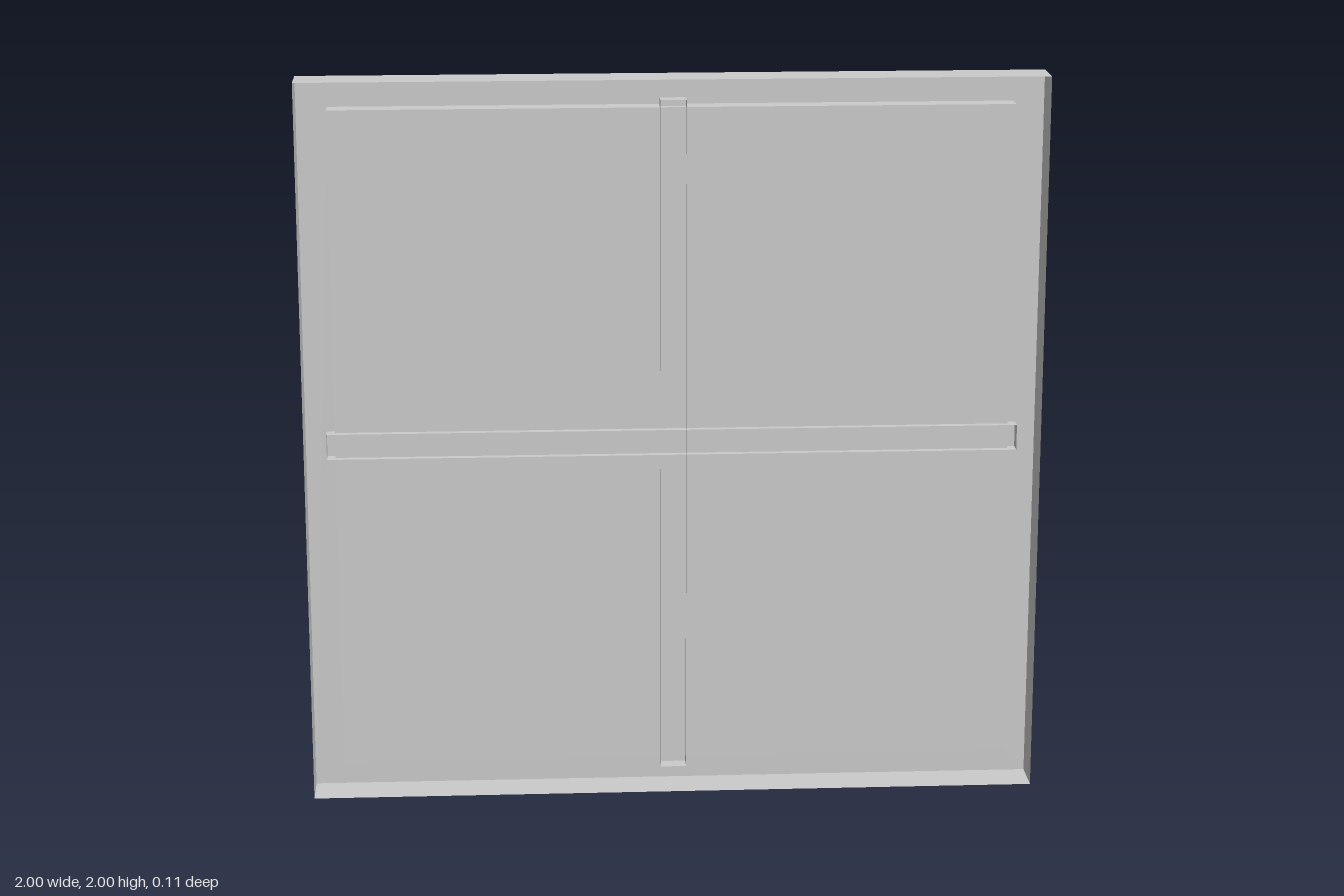
import * as THREE from 'three';

const material = new THREE.MeshStandardMaterial({ color: 0xcccccc, side: THREE.DoubleSide });
const FRONT = 4, BACK = 5; // face numbers in a box geometry

// Thin-walled box between z0 and z1 with the listed faces left open
function openBox(name, width, height, z0, z1, openFaces) {
  const geometry = new THREE.BoxGeometry(width, height, z1 - z0);
  const index = Array.from(geometry.index.array);
  geometry.setIndex(index.filter((_, i) => !openFaces.includes(Math.floor(i / 6))));
  geometry.clearGroups();
  const mesh = new THREE.Mesh(geometry, material);
  mesh.name = name;
  mesh.position.set(0, 1, (z0 + z1) / 2);
  return mesh;
}

function square(half, Type) {
  return new Type([[-1, -1], [1, -1], [1, 1], [-1, 1]].map(([x, y]) => new THREE.Vector2(x * half, y * half)));
}

export function createModel() {
  const group = new THREE.Group();
  group.name = 'window';
  const depth = 0.057, inner = 0.917, pane = -0.001;

  // Outer rim of the hollow frame, open towards the front
  group.add(openBox('frameRim', 2, 2, -depth, depth, [FRONT, BACK]));

  // Flat border around the opening
  const border = square(1, THREE.Shape);
  border.holes.push(square(inner, THREE.Path));
  const face = new THREE.Mesh(new THREE.ShapeGeometry(border), material);
  face.name = 'frameBorder';
  face.rotation.y = Math.PI;
  face.position.set(0, 1, -depth);
  group.add(face);

  // Recess walls with the pane at mid depth
  group.add(openBox('recessedPane', inner * 2, inner * 2, -depth, pane, [BACK]));

  // Crossing bars: channels open to the front that run through the pane
  group.add(openBox('verticalBar', 0.07, 1.88, -0.022, 0.02, [FRONT]));
  group.add(openBox('horizontalBar', 1.88, 0.07, -0.02, 0.018, [FRONT]));

  return group;
}
